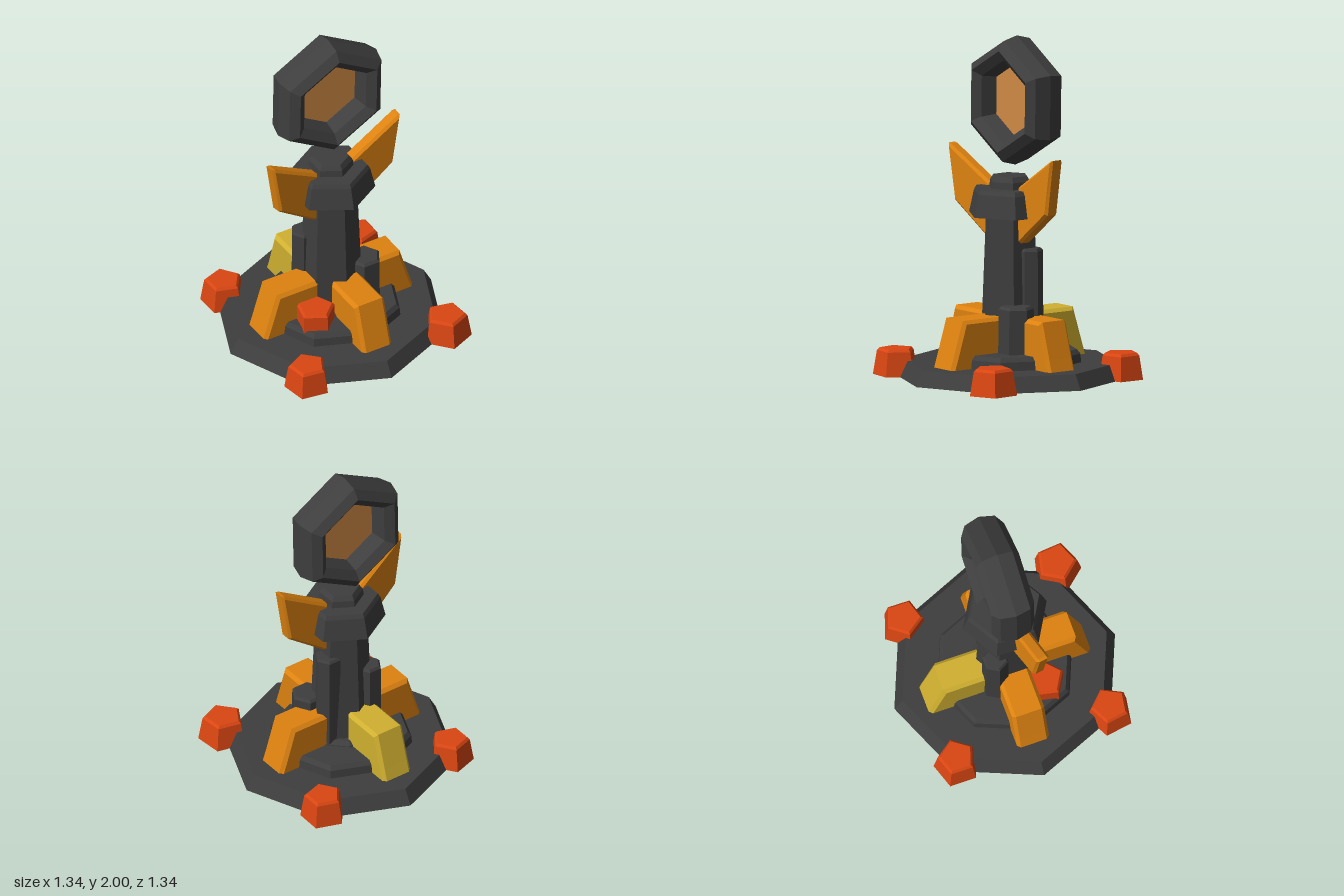
import * as THREE from 'three';

const mat = (name, color, side = THREE.FrontSide) => {
  const m = new THREE.MeshStandardMaterial({ color, flatShading: true, side });
  m.name = name;
  return m;
};

export function createModel() {
  const dark = mat('charcoal', 0x3e3e3e, THREE.DoubleSide);
  const orange = mat('orange', 0xdd8210);
  const yellow = mat('yellow', 0xd0b030);
  const red = mat('red', 0xdb4612);
  const amber = mat('amber', 0xd08a45, THREE.DoubleSide);

  const model = new THREE.Group();
  model.name = 'beaconTower';

  const add = (name, geometry, material, x = 0, y = 0, z = 0) => {
    const mesh = new THREE.Mesh(geometry, material);
    mesh.name = name;
    mesh.position.set(x, y, z);
    model.add(mesh);
    return mesh;
  };

  // Faceted solid from [radius, height] pairs, listed bottom to top
  const faceted = (profile, sides, turn = 0) =>
    new THREE.LatheGeometry(profile.map(([r, y]) => new THREE.Vector2(r, y)), sides).rotateY(turn);

  // Bevelled plate from an outline, centred on its thickness
  const plate = (outline, thickness, bevel) => {
    const shape = new THREE.Shape(outline.map(([x, y]) => new THREE.Vector2(x, y)));
    const depth = thickness - 2 * bevel;
    return new THREE.ExtrudeGeometry(shape, {
      depth, bevelEnabled: true, bevelThickness: bevel, bevelSize: bevel,
      bevelOffset: -bevel, bevelSegments: 1,
    }).translate(0, 0, -depth / 2);
  };

  // Hollow octagonal base, raised step and open hub
  add('base', faceted([[0.67, 0.03], [0.62, 0.12], [0.2, 0.12]], 8), dark);
  add('baseStep', faceted([[0.41, 0.12], [0.405, 0.17], [0.385, 0.195], [0.15, 0.195]], 8), dark);
  add('hub', faceted([[0.215, 0], [0.215, 0.2], [0.19, 0.22], [0.15, 0.22]], 8, Math.PI / 8), dark);

  // Hexagonal tower, collar and cap
  add('tower', faceted([[0.185, 0.12], [0.15, 0.98]], 6), dark);
  add('collar', faceted([[0.14, 0.97], [0.255, 0.97], [0.225, 1.1], [0.21, 1.125], [0, 1.125]], 6), dark);
  add('cap', faceted([[0.13, 1.12], [0.125, 1.165], [0.105, 1.195], [0, 1.195]], 6), dark);

  // Columns leaning on the tower: x, z, radius, height
  [[0.17, 0.085, 0.105, 0.465], [0.125, -0.045, 0.08, 0.785], [-0.12, -0.1, 0.08, 0.65]]
    .forEach(([x, z, r, h]) => add('sideColumn',
      faceted([[r, 0.12], [r * 0.96, h - 0.015], [r * 0.82, h], [0, h]], 6, Math.PI / 6), dark, x, 0, z));

  // Four buttresses; the rear one is yellow: turn, sideways offset
  const buttress = plate([[0.13, 0.05], [0.52, 0.05], [0.475, 0.19], [0.41, 0.4], [0.13, 0.4]], 0.195, 0.02);
  [[0, 0, 0, orange], [Math.PI, 0, 0, orange],
    [-Math.PI / 2, 0.015, 0, orange], [Math.PI / 2, -0.035, -0.005, yellow]]
    .forEach(([turn, x, z, material]) => {
      add('buttress', buttress, material, x, 0, z).rotation.y = turn;
    });

  // Pentagonal corner blocks: x, z, radius, direction of one corner in degrees
  [[-0.445, -0.45, 0.133, 0], [0.455, -0.45, 0.133, 181],
    [-0.445, 0.48, 0.135, -9], [0.48, 0.487, 0.143, 175]].forEach(([x, z, r, deg]) => {
    const turn = Math.PI / 2 - THREE.MathUtils.degToRad(deg) - Math.PI / 2 + Math.PI / 2;
    // The lathe starts at +z, so shift its first corner round to the wanted angle
    add('cornerBlock', faceted([[0, 0.03], [r, 0.03], [r * 0.83, 0.17], [r * 0.72, 0.185], [0, 0.185]], 5, turn),
      red, x, 0, z);
  });
  add('innerBlock', faceted([[0, 0.06], [0.118, 0.06], [0.115, 0.285], [0.1, 0.3], [0, 0.3]], 5,
    THREE.MathUtils.degToRad(78)), red, -0.205, 0, 0.17);

  // Swept wings under the ring
  const outline = [[0.1, 0.8], [0.15, 0.825], [0.395, 1.01], [0.445, 1.335], [0.425, 1.33], [0.12, 1.14]];
  add('leftWing', plate(outline, 0.085, 0.015), orange);
  const rightWing = plate(outline.map(([x, y]) => [-x * 1.04, y]).reverse(), 0.08, 0.015);
  add('rightWing', rightWing, orange).rotation.y = 0.16;

  // Floating hexagonal ring with a thin pane
  const ring = new THREE.TorusGeometry(0.295, 0.08, 8, 6).rotateZ(Math.PI / 6).scale(1, 1, 1.62);
  add('ring', ring, dark, 0, 1.625, -0.042).rotation.z = -0.02;
  const pane = new THREE.CircleGeometry(0.218, 6).rotateZ(Math.PI / 6);
  add('ringPane', pane, amber, 0, 1.625, -0.042).rotation.z = -0.02;

  return model;
}
